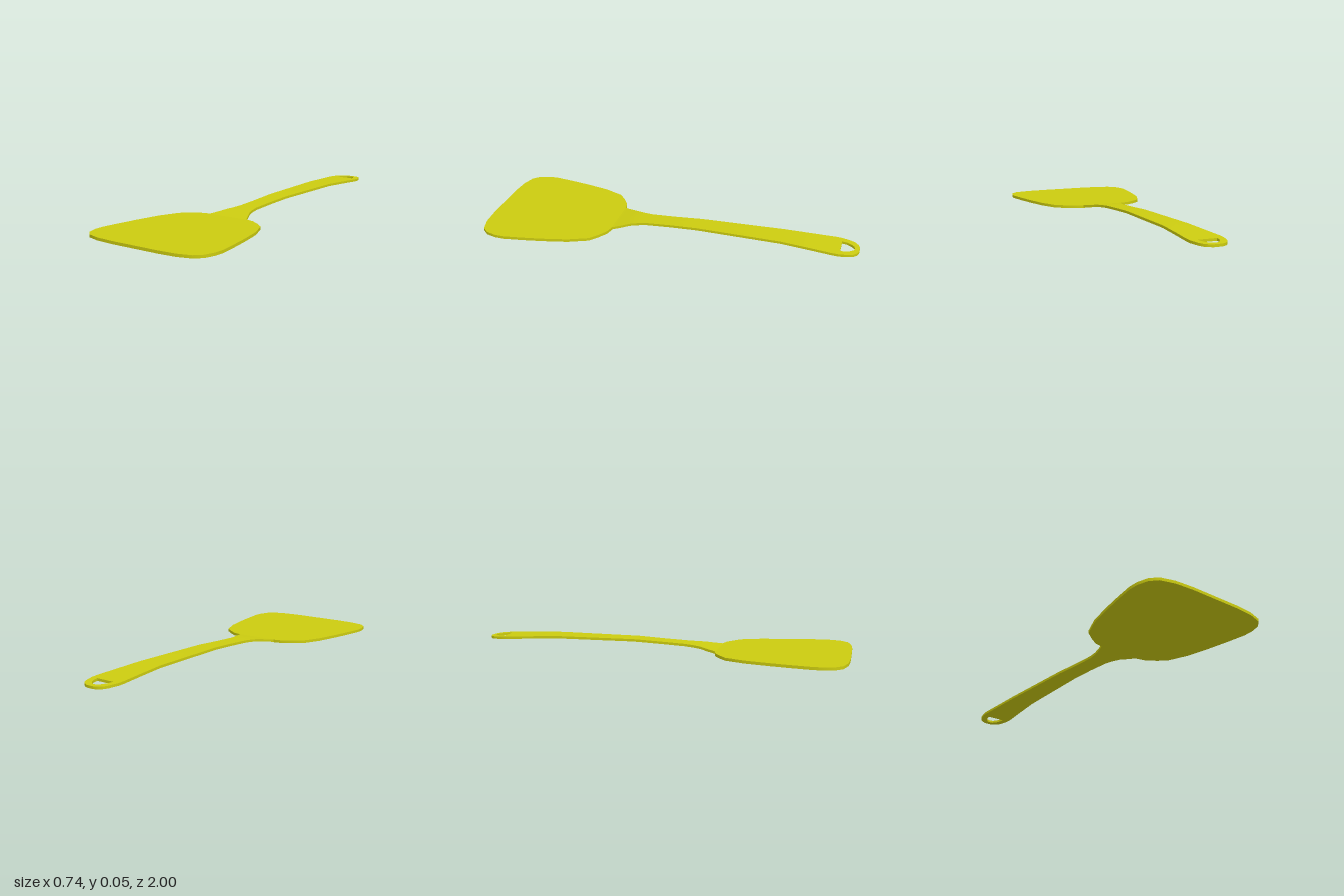
import * as THREE from 'three';
import { toCreasedNormals } from 'three/addons/utils/BufferGeometryUtils.js';

const BLADE_THICKNESS = 0.015;
const HANDLE_THICKNESS = 0.013;

// Half outline of the blade as [x, z], from the handle side to the front edge
const BLADE = [
  [0.12, 0.308], [0.165, 0.318], [0.215, 0.35], [0.26, 0.386], [0.304, 0.49], [0.334, 0.62],
  [0.354, 0.73], [0.369, 0.83], [0.367, 0.88], [0.35, 0.935], [0.315, 0.97], [0.24, 0.991], [0.14, 0.998],
];

// Handle stations: [z, top height, half width, half width of the hanging hole]
const HANDLE = [
  [0.31, 0.015, 0, 0], [0.31, 0.015, 0.117, 0], [0.26, 0.022, 0.094, 0], [0.22, 0.029, 0.075, 0],
  [0.18, 0.032, 0.062, 0], [0.13, 0.035, 0.052, 0], [0, 0.041, 0.05, 0], [-0.15, 0.048, 0.054, 0],
  [-0.6, 0.048, 0.068, 0], [-0.75, 0.041, 0.078, 0], [-0.87, 0.035, 0.087, 0], [-0.905, 0.033, 0.086, 0],
  [-0.905, 0.033, 0.086, 0.05], [-0.93, 0.032, 0.08, 0.047], [-0.955, 0.0305, 0.073, 0.034],
  [-0.972, 0.0295, 0.064, 0.018], [-0.975, 0.0293, 0.062, 0], [-0.99, 0.0285, 0.045, 0],
  [-1, 0.028, 0.022, 0], [-1, 0.028, 0, 0],
];

function bladeGeometry() {
  const right = BLADE.map(([x, z]) => new THREE.Vector2(x, -z));
  const left = BLADE.map(([x, z]) => new THREE.Vector2(-x, -z)).reverse();
  const shape = new THREE.Shape([...right, ...left]);
  const geometry = new THREE.ExtrudeGeometry(shape, { depth: BLADE_THICKNESS, bevelEnabled: false });
  geometry.rotateX(-Math.PI / 2);
  return toCreasedNormals(geometry, 0.7);
}

// Bent strip joined station by station, mirrored across x = 0
function handleGeometry() {
  const positions = [];
  const quad = (a, b, c, d, side) => {
    const order = side > 0 ? [a, b, c, a, c, d] : [a, c, b, a, d, c];
    for (const p of order) positions.push(side * p[0], p[1], p[2]);
  };
  const corners = ([z, y, outer, inner]) => ({
    topIn: [inner, y, z], topOut: [outer, y, z],
    lowIn: [inner, y - HANDLE_THICKNESS, z], lowOut: [outer, y - HANDLE_THICKNESS, z],
  });
  for (const side of [1, -1]) {
    for (let i = 0; i < HANDLE.length - 1; i++) {
      const a = corners(HANDLE[i]), b = corners(HANDLE[i + 1]);
      if (HANDLE[i][0] !== HANDLE[i + 1][0]) {
        quad(a.topIn, a.topOut, b.topOut, b.topIn, side);
        quad(a.lowIn, b.lowIn, b.lowOut, a.lowOut, side);
      }
      // Outer edge, including the end caps
      if (HANDLE[i][0] !== HANDLE[i + 1][0] || HANDLE[i][2] !== HANDLE[i + 1][2]) {
        quad(a.lowOut, b.lowOut, b.topOut, a.topOut, side);
      }
      // Wall of the hanging hole
      if (HANDLE[i][3] + HANDLE[i + 1][3] > 0) quad(a.lowIn, a.topIn, b.topIn, b.lowIn, side);
    }
  }
  const geometry = new THREE.BufferGeometry();
  geometry.setAttribute('position', new THREE.Float32BufferAttribute(positions, 3));
  geometry.computeVertexNormals();
  return toCreasedNormals(geometry, 0.5);
}

export function createModel() {
  const plastic = new THREE.MeshStandardMaterial({ color: 0xcccc10 });
  plastic.name = 'yellow plastic';
  const group = new THREE.Group();
  group.name = 'spatula';
  const blade = new THREE.Mesh(bladeGeometry(), plastic);
  blade.name = 'blade';
  const handle = new THREE.Mesh(handleGeometry(), plastic);
  handle.name = 'handle';
  group.add(blade, handle);
  return group;
}
